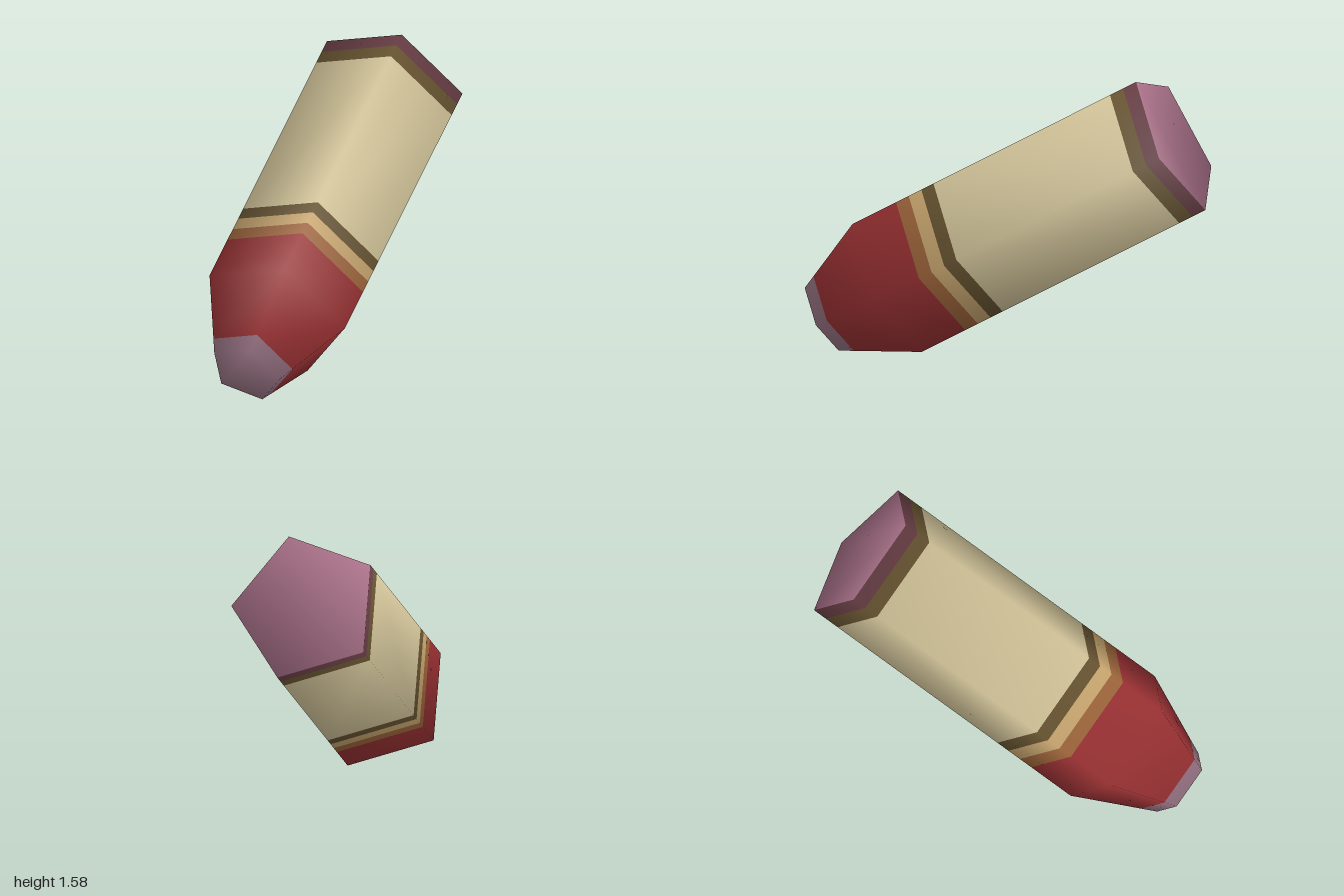
import * as THREE from 'three';

const SIDES = 5;
const TAIL = new THREE.Vector3(0.763, 1.247, -0.454);
// Axis runs from the tail to the nose; V points at the first corner
const A = new THREE.Vector3(-0.729, -0.479, 0.489).normalize();
const V = new THREE.Vector3(-0.697, 0.534, -0.479);
V.addScaledVector(A, -V.dot(A)).normalize();
const U = new THREE.Vector3().crossVectors(V, A);

// Main sections: distance along the axis, radius, smooth normal (radial, axial)
const SECTIONS = [
  { t: 0, r: 0.415, nr: 0.8, na: -0.59 },
  { t: 1.795, r: 0.415, nr: 0.978, na: 0.21 },
  { t: 2.227, r: 0.203, nr: 0.65, na: 0.76 },
];

function sectionAt(t) {
  const i = t <= SECTIONS[1].t ? 0 : 1;
  const p = SECTIONS[i], q = SECTIONS[i + 1];
  const k = (t - p.t) / (q.t - p.t);
  const mix = (key) => THREE.MathUtils.lerp(p[key], q[key], k);
  return { t, r: mix('r'), nr: mix('nr'), na: mix('na') };
}

// Adds one ring of corners with normals shared by neighbouring parts
function addRing(t, positions, normals) {
  const s = sectionAt(t);
  for (let i = 0; i < SIDES; i++) {
    const angle = (i / SIDES) * Math.PI * 2;
    const radial = V.clone().multiplyScalar(Math.cos(angle)).addScaledVector(U, Math.sin(angle));
    const p = TAIL.clone().addScaledVector(A, s.t).addScaledVector(radial, s.r);
    const n = radial.multiplyScalar(s.nr).addScaledVector(A, s.na).normalize();
    positions.push(p.x, p.y, p.z);
    normals.push(n.x, n.y, n.z);
  }
}

function makeMesh(name, material, positions, normals, index) {
  const g = new THREE.BufferGeometry();
  g.setAttribute('position', new THREE.Float32BufferAttribute(positions, 3));
  g.setAttribute('normal', new THREE.Float32BufferAttribute(normals, 3));
  g.setIndex(index);
  const mesh = new THREE.Mesh(g, material);
  mesh.name = name;
  return mesh;
}

// Sleeve passing through the given distances along the axis
function sleeve(name, material, stops) {
  const positions = [], normals = [], index = [];
  stops.forEach((t) => addRing(t, positions, normals));
  for (let k = 0; k < stops.length - 1; k++) {
    for (let i = 0; i < SIDES; i++) {
      const j = (i + 1) % SIDES;
      const ti = k * SIDES + i, tj = k * SIDES + j;
      const ni = ti + SIDES, nj = tj + SIDES;
      index.push(ni, nj, tj, ni, tj, ti);
    }
  }
  return makeMesh(name, material, positions, normals, index);
}

// Flat end face
function cap(name, material, t, isTail) {
  const positions = [], normals = [], index = [];
  addRing(t, positions, normals);
  // Fan starts beside the first corner
  for (let k = 1; k < SIDES - 1; k++) {
    const a = 1, b = (1 + k) % SIDES, c = (2 + k) % SIDES;
    index.push(...(isTail ? [a, b, c] : [a, c, b]));
  }
  return makeMesh(name, material, positions, normals, index);
}

export function createModel() {
  const mat = (name, color) => {
    const m = new THREE.MeshStandardMaterial({ color });
    m.name = name;
    return m;
  };
  const pink = mat('dusty pink', 0xa87088);
  const lilac = mat('grey lilac', 0x967282);
  const maroon = mat('maroon', 0x643c42);
  const brown = mat('dark brown', 0x655230);
  const cream = mat('cream', 0xcfc197);
  const tan = mat('tan', 0xc6a46e);
  const rust = mat('rust', 0x9c643a);
  const red = mat('deep red', 0x983032);

  const body = new THREE.Group();
  body.name = 'roundBody';
  body.add(
    cap('tailFace', pink, 0, true),
    sleeve('tailRim', maroon, [0, 0.082]),
    sleeve('tailBand', brown, [0.082, 0.165]),
    sleeve('casing', cream, [0.165, 1.283]),
    sleeve('frontBand', brown, [1.283, 1.36]),
    sleeve('tanBand', tan, [1.36, 1.44]),
    sleeve('rustBand', rust, [1.44, 1.52]),
    sleeve('noseCone', red, [1.52, 1.795, 2.148]),
    sleeve('tipRim', lilac, [2.148, 2.227]),
    cap('tipFace', lilac, 2.227, false),
  );

  // Centre the model and stand it on the ground
  const box = new THREE.Box3().setFromObject(body);
  const c = box.getCenter(new THREE.Vector3());
  body.position.set(-c.x, -box.min.y, -c.z);

  const model = new THREE.Group();
  model.name = 'model';
  model.add(body);
  return model;
}
